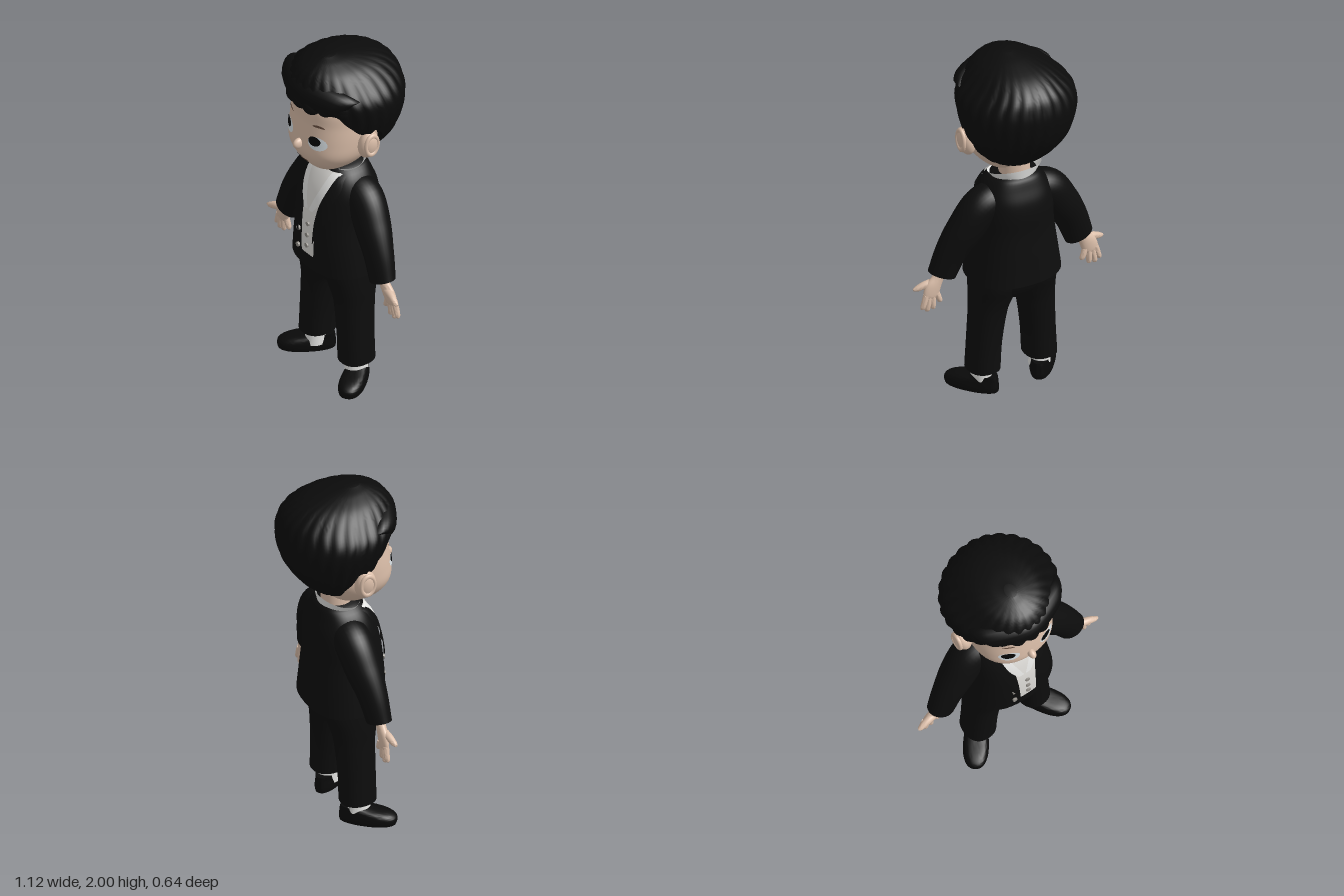
import * as THREE from 'three';
import { toCreasedNormals } from 'three/addons/utils/BufferGeometryUtils.js';

const paint = (color, side = THREE.FrontSide) => new THREE.MeshStandardMaterial({ color, side });

// Smooth interpolation of table rows keyed by their first column
function at(rows, k) {
  const n = rows.length - 1;
  k = Math.min(Math.max(k, rows[0][0]), rows[n][0]);
  let i = 0;
  while (i < n - 1 && k > rows[i + 1][0]) i++;
  const slope = (j, c) => {
    const p = rows[Math.max(j - 1, 0)], q = rows[Math.min(j + 1, n)];
    return (q[c] - p[c]) / (q[0] - p[0]);
  };
  const a = rows[i], b = rows[i + 1], h = b[0] - a[0], t = (k - a[0]) / h, t2 = t * t, t3 = t2 * t;
  return a.map((v, c) => c === 0 ? k :
    (2 * t3 - 3 * t2 + 1) * v + (t3 - 2 * t2 + t) * h * slope(i, c) +
    (3 * t2 - 2 * t3) * b[c] + (t3 - t2) * h * slope(i + 1, c));
}

// Grid surface from fn(u, v) => [x, y, z]
function surface(fn, nu, nv) {
  const pos = [], index = [];
  for (let j = 0; j <= nv; j++) for (let i = 0; i <= nu; i++) pos.push(...fn(i / nu, j / nv, j));
  for (let j = 0; j < nv; j++) for (let i = 0; i < nu; i++) {
    const a = j * (nu + 1) + i, b = a + nu + 1;
    index.push(a, b, b + 1, a, b + 1, a + 1);
  }
  const g = new THREE.BufferGeometry();
  g.setAttribute('position', new THREE.Float32BufferAttribute(pos, 3));
  g.setIndex(index);
  return toCreasedNormals(g, 0.9);
}

const bend = (c, n) => Math.sign(c) * Math.abs(c) ** (2 / n);

// Upright closed form; rows are [y, halfWidth, zFront, zBack, centreX]
function loft(rows, n = 2.3, steps = 32, flare = 0) {
  const y0 = rows[0][0], y1 = rows[rows.length - 1][0];
  return surface((u, v, j) => {
    const t = Math.min(Math.max((j - 1) / steps, 0), 1), s = j === 0 || j === steps + 2 ? 0 : 1;
    const [y, rx, zf, zb, cx = 0] = at(rows, y0 + (y1 - y0) * t);
    const a = u * Math.PI * 2, sn = bend(Math.sin(a), n);
    return [cx + s * rx * bend(Math.cos(a), n) * (1 + flare * sn), y, (zf + zb) / 2 + s * (zf - zb) / 2 * sn];
  }, 48, steps + 2);
}

// Front depth of an upright form
function frontZ(rows, x, y, n) {
  const [, rx, zf, zb] = at(rows, y);
  return (zf + zb) / 2 + (zf - zb) / 2 * Math.max(0, 1 - Math.abs(x / rx) ** n) ** (1 / n);
}

// Closed limb along a path; points are [x, y, z, radius, depthRadius]
function limb(points, s = 1, steps = 20, seg = 20) {
  const rows = points.map(([x, y, z, r, rz], i) => [i, x * s, y, z, r, rz ?? r]), m = points.length - 1;
  return surface((u, v, j) => {
    const k = Math.min(Math.max((j - 1) / steps, 0), 1) * m, f = j === 0 || j === steps + 2 ? 0 : 1;
    const [, x, y, z, r, rz] = at(rows, k), p = at(rows, k - 0.02), q = at(rows, k + 0.02);
    const tx = q[1] - p[1], ty = q[2] - p[2], l = Math.hypot(tx, ty), a = u * Math.PI * 2;
    const c = f * r * Math.cos(a);
    return [x + c * ty / l, y - c * tx / l, z + f * rz * Math.sin(a)];
  }, seg, steps + 2);
}

const HEAD = [[1.315, .03, .15, .06], [1.33, .09, .185, 0], [1.36, .135, .22, -.05], [1.41, .185, .257, -.09],
  [1.47, .22, .28, -.14], [1.55, .235, .277, -.2], [1.65, .236, .265, -.23], [1.78, .225, .25, -.25], [1.92, .13, .14, -.16]];
const TORSO = [[.7, .255, .235, -.185], [.85, .235, .235, -.175], [1, .215, .225, -.165], [1.1, .21, .207, -.165],
  [1.18, .2, .185, -.155], [1.25, .172, .153, -.13], [1.3, .13, .12, -.11], [1.315, .1, .1, -.095]];
const HAIR = [[1.4, .12, .1, -.11], [1.47, .2, .15, -.19], [1.55, .258, .18, -.25], [1.63, .288, .22, -.29],
  [1.74, .31, .26, -.31], [1.82, .298, .295, -.3], [1.89, .24, .285, -.265], [1.95, .17, .245, -.18],
  [1.985, .09, .18, -.05], [2, .03, .13, .05]];
// Hair hem height by angle from the front
const HEM = [[0, 1.77], [.7, 1.76], [.95, 1.67], [1.2, 1.62], [1.45, 1.64], [1.7, 1.55], [1.9, 1.46], [2.4, 1.42], [Math.PI, 1.41]];

// Thin cloth panel laid on the torso; rows are [y, xA, xB]
function panel(rows, off, s = 1) {
  const y0 = rows[0][0], y1 = rows[rows.length - 1][0];
  return surface((u, v) => {
    const y = y1 + (y0 - y1) * v, [, a, b] = at(rows, y);
    const lo = Math.min(a * s, b * s), hi = Math.max(a * s, b * s), x = lo + (hi - lo) * u;
    return [x, y, frontZ(TORSO, x, y, 2.4) + off];
  }, 10, 24);
}

// Thin oval laid on the face, optionally curved
function oval(cx, cy, rx, ry, off, curve = 0) {
  return surface((u, v) => {
    const a = u * Math.PI * 2, x = cx + rx * v * Math.cos(a);
    const y = cy + ry * v * Math.sin(a) + curve * (x - cx) ** 2;
    return [x, y, frontZ(HEAD, x, y, 2.3) + off];
  }, 28, 6);
}

export function createModel() {
  const root = new THREE.Group();
  const skin = paint(0xdcbfaa), hairBlack = paint(0x0b0b0b), suit = paint(0x0d0d0d, THREE.DoubleSide);
  const white = paint(0xf2f2f0, THREE.DoubleSide), vestGrey = paint(0xdedcd8), eyeWhite = paint(0xdde4e8);
  const pupilBlack = paint(0x050505), brown = paint(0x6b5142), buttonGrey = paint(0x96928c), shoeBlack = paint(0x0a0a0a);
  const add = (name, geo, mat, parent = root) => {
    const m = new THREE.Mesh(geo, mat);
    m.name = name;
    parent.add(m);
    return m;
  };
  const ball = (name, mat, p, r) => {
    const m = add(name, new THREE.SphereGeometry(1, 28, 20), mat);
    m.position.set(...p);
    m.scale.set(...r);
    return m;
  };

  // Head, neck and face
  add('head', loft(HEAD, 2.3, 40), skin);
  add('neck', loft([[1.24, .085, .085, -.085], [1.45, .08, .08, -.08]], 2), skin);
  ball('nose', skin, [0, 1.512, .286], [.021, .03, .034]);
  add('mouth', oval(0, 1.408, .05, .008, .004, 4), brown);
  for (const s of [1, -1]) {
    add('eye', oval(.115 * s, 1.56, .052, .04, .003), eyeWhite);
    add('pupil', oval(s > 0 ? .103 : -.122, 1.573, .034, .028, .006), pupilBlack);
    add('eyebrow', oval(.115 * s, 1.665, .033, .007, .004, -5), brown);
    ball('ear', skin, [.263 * s, 1.55, .034], [.046, .086, .058]).rotation.z = -.15 * s;
    const rim = add('earRim', new THREE.TorusGeometry(.045, .012, 10, 28), skin);
    rim.position.set(.295 * s, 1.56, .034);
    rim.rotation.set(0, Math.PI / 2, 0);
    rim.scale.set(.85, 1.25, 1);
  }

  // Hair cap with swept strands and a turned-in hem
  add('hair', surface((u, v, j) => {
    const a = u * Math.PI * 2, phi = Math.acos(Math.sin(a));
    const hem = at(HEM, phi)[1], t = Math.max(0, (j - 1) / 40);
    const y = hem + (2 - hem) * Math.sin(t * Math.PI / 2);
    const [, rx, zf, zb] = at(HAIR, y);
    const k = j === 0 ? .7 : 1 + .035 * Math.abs(Math.sin(a * 13 + (y - 1.4) * 5)) * Math.min(1, (2 - y) * 8);
    return j === 42 ? [0, 2, .09] :
      [k * rx * Math.cos(a), y, (zf + zb) / 2 + k * (zf - zb) / 2 * Math.sin(a)];
  }, 156, 42), hairBlack);
  // Rolled fringe with scalloped lower edge
  add('fringe', limb([[-.25, 1.8, .1, .05], [-.2, 1.82, .17, .075], [0, 1.835, .235, .085, .08],
    [.2, 1.82, .17, .075], [.25, 1.8, .1, .05]], 1, 36), hairBlack);
  for (let i = 0; i < 7; i++) {
    const x = (i - 3) * .068;
    ball('fringeCurl', hairBlack, [x, 1.79 + .008 * (i % 2), .262 - 2.7 * x * x], [.052, .06, .055]).rotation.z = .4;
  }

  // Jacket, vest, shirt front and lapels
  add('jacket', loft(TORSO, 2.4, 40), suit);
  add('vest', panel([[.79, -.035, .06], [1, -.045, .065], [1.1, -.055, .075], [1.2, -.09, .1], [1.295, -.11, .11]], .004), vestGrey);
  add('shirtCollar', surface((u, v) => {
    const a = Math.PI / 2 + .6 + u * (Math.PI * 2 - 1.2), z = (.1 + .01 * v) * Math.sin(a);
    return [(.105 + .045 * v) * Math.cos(a), 1.275 + .06 * v - .26 * z, z];
  }, 48, 6), white);
  for (const s of [1, -1]) {
    add('collarWing', panel([[1.06, .005, .035], [1.12, .025, .07], [1.2, .052, .098], [1.295, .075, .118]], .01, s), white);
    add('lapel', panel([[.88, .058, .062], [1, .062, .11], [1.1, .072, .16], [1.13, .078, .14], [1.22, .1, .155], [1.285, .112, .135]], .014, s), suit);
  }
  const buttons = [[.01, .976], [.01, .907], [.01, .843], [-.07, .905], [-.07, .8]];
  for (const [x, y] of buttons) {
    const b = add('button', new THREE.CylinderGeometry(.013, .013, .012, 16), buttonGrey);
    b.rotation.x = Math.PI / 2;
    b.position.set(x, y, frontZ(TORSO, x, y, 2.4) + .006);
  }

  // Trousers seat
  add('trouserSeat', loft([[.57, .09, .12, -.07], [.61, .18, .155, -.1], [.68, .225, .17, -.125], [.8, .225, .18, -.13]], 2.4), suit);

  for (const s of [1, -1]) {
    // Sleeve and hand
    add('sleeve', limb([[.08, 1.2, 0, .075, .09], [.19, 1.145, 0, .103, .1], [.28, 1.02, .015, .1, .095],
      [.35, .9, .032, .088, .078], [.402, .765, .045, .08, .064]], s, 28, 32), suit);
    add('palm', limb([[.395, .79, .045, .032, .026], [.425, .745, .045, .034, .025], [.455, .7, .042, .046, .024],
      [.472, .655, .038, .043, .018], [.476, .64, .036, .028, .01]], s), skin);
    const fingers = [[.498, .665, .519, .588], [.481, .65, .493, .57], [.46, .65, .459, .575], [.436, .665, .418, .606]];
    for (const [x0, y0, x1, y1] of fingers)
      add('finger', limb([[x0, y0, .037, .016], [(x0 + x1) / 2, (y0 + y1) / 2, .035, .016],
        [x1, y1 + .006, .035, .0135], [x1 * 1.001, y1, .036, .007]], s, 12, 14), skin);
    add('thumb', limb([[.44, .725, .048, .022], [.49, .718, .056, .021], [.535, .702, .064, .016], [.557, .697, .067, .007]], s, 12, 14), skin);

    // Leg, sock and turned-out shoe
    add('trouserLeg', loft([[.13, .088, .135, -.06, .167 * s], [.3, .088, .135, -.062, .157 * s], [.5, .099, .14, -.077, .137 * s],
      [.58, .115, .155, -.095, .121 * s], [.66, .118, .17, -.12, .115 * s], [.8, .115, .18, -.13, .11 * s]], 2.3), suit);
    add('sock', loft([[.04, .056, .11, -.025, .172 * s], [.15, .054, .098, -.025, .17 * s]], 2, 6), white);
    const shoe = add('shoe', loft([[0, .062, .245, -.052], [.02, .066, .25, -.056], [.045, .064, .242, -.054],
      [.065, .058, .2, -.052], [.08, .05, .12, -.05], [.092, .045, .07, -.047]], 2.3, 20, .14), shoeBlack);
    shoe.position.x = .15 * s;
    shoe.rotation.y = .62 * s;
  }
  return root;
}
